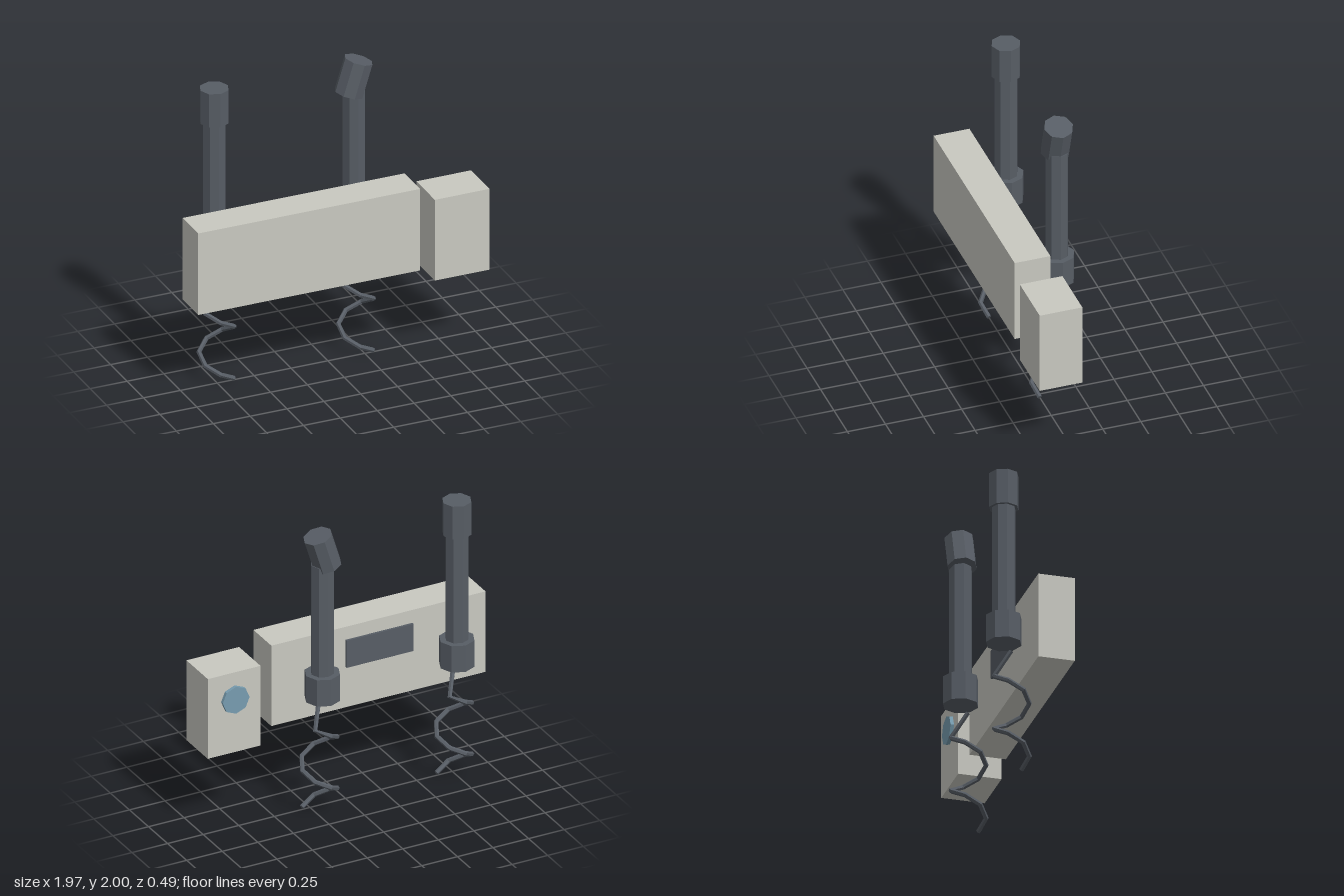
import * as THREE from 'three';

const mat = (name, color) => new THREE.MeshStandardMaterial({ name, color, flatShading: true });

// Straight-sided curve whose samples fall exactly on the given points
class Polyline extends THREE.Curve {
  constructor(points) {
    super();
    this.points = points;
  }
  getPoint(t, target = new THREE.Vector3()) {
    const n = this.points.length - 1;
    const i = Math.min(Math.floor(t * n + 1e-9), n - 1);
    return target.lerpVectors(this.points[i], this.points[i + 1], t * n - i);
  }
  getPointAt(t, target) { return this.getPoint(t, target); }
  getTangentAt(t, target) { return this.getTangent(t, target); }
}

export function createModel() {
  const model = new THREE.Group();
  const casing = mat('pale grey casing', 0xc8c8c0);
  const dark = mat('dark grey rubber', 0x575d65);
  const glass = mat('blue glass', 0x779caf);

  const add = (parent, name, geometry, material, x, y, z) => {
    const mesh = new THREE.Mesh(geometry, material);
    mesh.name = name;
    mesh.position.set(x, y, z);
    parent.add(mesh);
    return mesh;
  };
  const octagon = (r, h) => new THREE.CylinderGeometry(r, r, h, 8);

  // Main body, side unit and details on the back
  add(model, 'mainBody', new THREE.BoxGeometry(1.505, 0.565, 0.235), casing, -0.237, 0.918, 0.128);
  add(model, 'sideUnit', new THREE.BoxGeometry(0.37, 0.56, 0.28), casing, 0.8, 0.825, 0.107);
  add(model, 'backPanel', new THREE.BoxGeometry(0.47, 0.19, 0.02), dark, -0.24, 1.015, 0.004);
  const lens = add(model, 'lens', octagon(0.094, 0.03), glass, 0.798, 0.92, -0.041);
  lens.rotation.x = Math.PI / 2;

  // Coiled cable: seven points per turn, ending at the coil axis
  const cablePoints = [];
  for (let k = -6; k <= 6; k++) {
    const a = (k * Math.PI * 2) / 7;
    cablePoints.push(new THREE.Vector3(0.115 * Math.cos(a), 0.325 + 0.0515 * k, 0.113 * Math.sin(a)));
  }
  cablePoints.push(new THREE.Vector3(0, 0.783, 0));
  const cablePath = new Polyline(cablePoints);
  const cableRadius = 0.016;
  const cableGeometry = new THREE.TubeGeometry(cablePath, cablePoints.length - 1, cableRadius, 6);

  // Two upright antennas, the left one with a tilted tip
  const addAntenna = (name, x, tipTilt, tipY) => {
    const antenna = new THREE.Group();
    antenna.name = name;
    antenna.position.x = x;
    model.add(antenna);
    add(antenna, 'base', octagon(0.114, 0.185), dark, 0, 0.918, -0.131);
    add(antenna, 'shaft', octagon(0.075, 0.86), dark, 0, 1.345, -0.131);
    add(antenna, 'tip', octagon(0.094, 0.23), dark, 0, tipY, -0.131).rotation.z = -tipTilt;

    const cable = new THREE.Group();
    cable.name = 'coiledCable';
    cable.position.z = -0.083;
    antenna.add(cable);
    add(cable, 'coil', cableGeometry, dark, 0, 0, 0);
    for (const t of [0, 1]) {
      const p = cablePath.getPoint(t);
      const out = cablePath.getTangent(t).multiplyScalar(t ? 1 : -1);
      const cap = add(cable, 'cableEnd', new THREE.CircleGeometry(cableRadius, 6), dark, p.x, p.y, p.z);
      cap.quaternion.setFromUnitVectors(new THREE.Vector3(0, 0, 1), out);
    }
  };
  addAntenna('rightAntenna', -0.712, 0, 1.865);
  addAntenna('leftAntenna', 0.233, 0.3, 1.865);

  return model;
}
